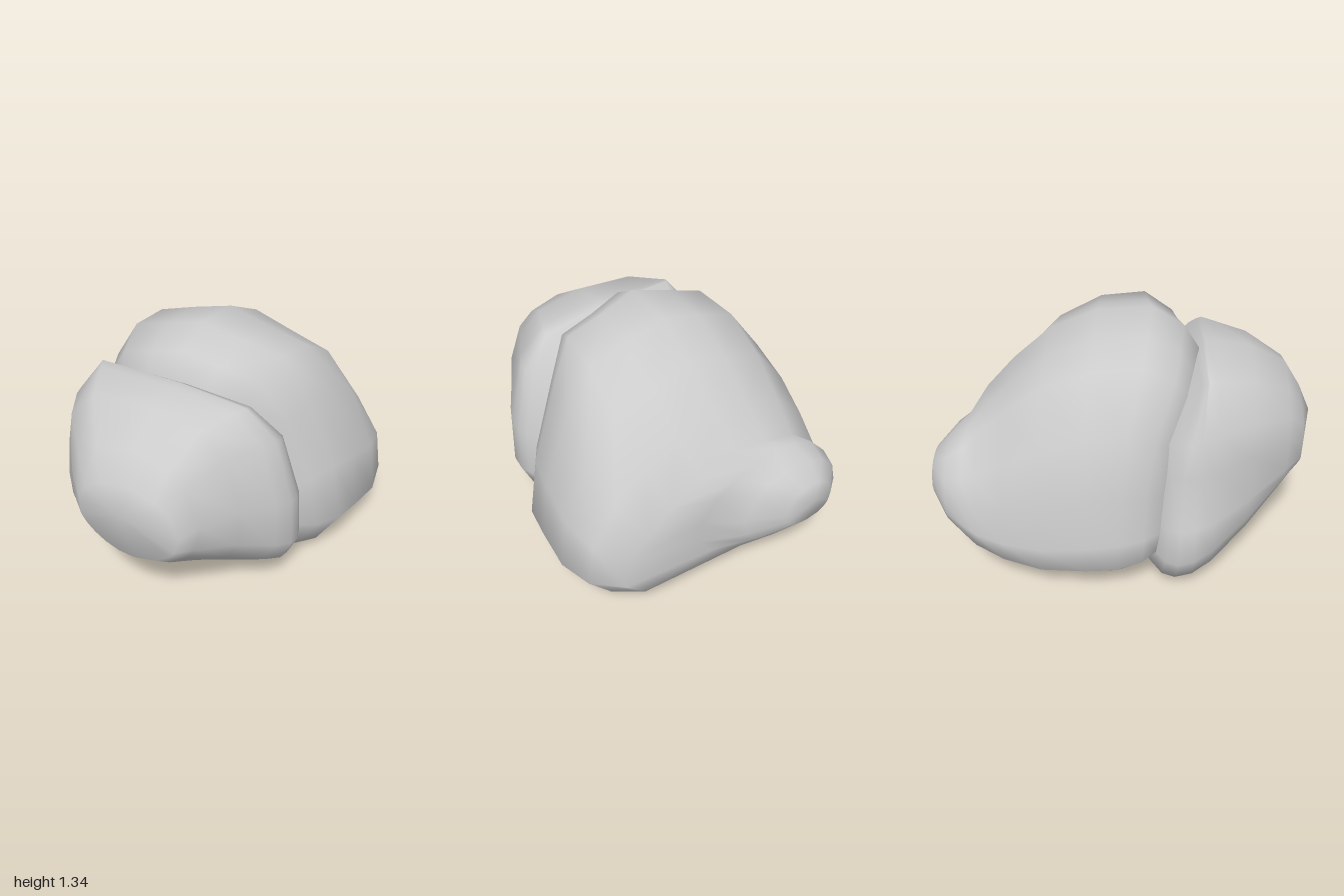
import * as THREE from 'three';

// Outlines, counter-clockwise seen from the front, starting low on the left of the model
const FRONT_OUTLINE = [
  [0.62, 0.33], [0.61, 0.6], [0.52, 0.95], [0.36, 1.1], [0, 1.145], [-0.46, 1.15], [-0.64, 0.92], [-0.635, 0.7],
  [-0.71, 0.42], [-0.745, 0.24], [-0.67, 0.09], [-0.45, 0.02], [-0.2, 0.06], [0, 0.065], [0.3, 0.09], [0.56, 0.2],
];
const REAR_OUTLINE = [
  [0.79, 0.27], [0.73, 0.6], [0.58, 0.98], [0.43, 1.24], [0.2, 1.29], [-0.02, 1.35], [-0.25, 1.285], [-0.47, 1.22],
  [-0.67, 0.95], [-0.74, 0.62], [-0.79, 0.35], [-0.8, 0.2], [-0.67, 0.08], [-0.45, 0.01], [0, 0.02], [0.3, 0], [0.65, 0.05],
];

// Sections: z, min x, max x, min y, max y, lean of the furrow, roundness, drop of the upper left side
const FRONT_SECTIONS = [
  [0.94, -0.28, 0.3, 0.44, 0.86, 0, 1.1, 0],
  [0.85, -0.39, 0.36, 0.35, 1.01, 0, 0.9, 0],
  [0.65, -0.6, 0.47, 0.21, 1.13, 0, 0.45, 0],
  [0.47, -0.72, 0.58, 0.09, 1.15, 0, 0.15, 0],
  [0.38, -0.75, 0.62, 0.05, 1.15, 0.03, 0, 0],
  [0.31, -0.75, 0.62, 0.02, 1.14, 0.08, 0, 0],
  [0.25, -0.73, 0.6, 0.03, 1.12, 0.11, 0, 0],
  [0.19, -0.66, 0.54, 0.07, 1.05, 0.14, 0, 0],
  [0.1, -0.52, 0.43, 0.16, 0.94, 0.14, 0, 0],
];
const REAR_SECTIONS = [
  [0.28, -0.56, 0.46, 0.24, 1.0, 0.17, 0, 0],
  [0.21, -0.67, 0.56, 0.11, 1.13, 0.15, 0, 0],
  [0.13, -0.73, 0.65, 0.06, 1.25, 0.1, 0, 0],
  [0.0, -0.78, 0.73, 0.03, 1.345, 0.06, 0, 0],
  [-0.17, -0.8, 0.765, 0.01, 1.32, 0.01, 0.1, 0.03],
  [-0.4, -0.78, 0.79, 0, 1.2, 0, 0.15, 0.1],
  [-0.6, -0.74, 0.75, 0.07, 1.02, 0, 0.15, 0.2],
  [-0.75, -0.69, 0.63, 0.15, 0.86, 0, 0.2, 0.3],
  [-0.81, -0.67, 0.18, 0.22, 0.81, 0, 0.3, 0.1],
  [-0.9, -0.63, -0.01, 0.31, 0.73, 0, 0.5, 0],
  [-0.985, -0.51, -0.2, 0.41, 0.65, 0, 0.8, 0],
];

// Fits the outline to every section, skins the rings and closes both ends with a tip
function loft(outline, sections, frontTip, backTip) {
  const box = new THREE.Box2().setFromPoints(outline.map((p) => new THREE.Vector2(...p)));
  const middle = box.getCenter(new THREE.Vector2());
  const half = box.getSize(new THREE.Vector2()).multiplyScalar(0.5);
  const n = outline.length, rings = sections.length;
  const positions = [], index = [];
  for (const [z, left, right, bottom, top, lean, roundness, drop] of sections) {
    for (const [px, py] of outline) {
      // Unit coordinates of the outline, drawn towards a circle by the roundness
      const p = new THREE.Vector2(px, py).sub(middle).divide(half);
      p.lerp(p.clone().normalize(), roundness);
      const x = THREE.MathUtils.mapLinear(p.x, -1, 1, left, right);
      const y = THREE.MathUtils.mapLinear(p.y, -1, 1, bottom, top) - drop * Math.max(0, p.x) * Math.max(0, p.y);
      const lift = (y - 0.6) / 0.5;
      const bend = lift > 0 ? lift * lift * (1 - 0.3 * x) : -0.3 * lift * lift;
      // Shallow hollow between the two bulges of the back
      const hollow = z < -0.7 ? 0.06 * Math.exp(-(((x - 0.18) / 0.18) ** 2)) * THREE.MathUtils.clamp((0.85 - y) / 0.3, 0, 1) : 0;
      positions.push(x, y, z + lean * bend + hollow);
    }
  }
  positions.push(...frontTip, ...backTip);
  const front = rings * n, back = front + 1;
  for (let j = 0; j < n; j++) {
    const k = (j + 1) % n;
    for (let i = 0; i < rings - 1; i++) {
      const a = i * n + j, b = i * n + k;
      index.push(a, a + n, b, b, a + n, b + n);
    }
    index.push(front, j, k);
    index.push(back, (rings - 1) * n + k, (rings - 1) * n + j);
  }
  const geometry = new THREE.BufferGeometry();
  geometry.setAttribute('position', new THREE.Float32BufferAttribute(positions, 3));
  geometry.setIndex(index);
  geometry.computeVertexNormals();
  return geometry;
}

export function createModel() {
  const group = new THREE.Group();
  group.name = 'boulder';
  const material = new THREE.MeshStandardMaterial({ color: 0xcccccc });
  const add = (name, geometry) => {
    const mesh = new THREE.Mesh(geometry, material);
    mesh.name = name;
    group.add(mesh);
  };
  // Smaller lobe in front, larger lobe behind, meeting in a curved furrow
  add('frontLobe', loft(FRONT_OUTLINE, FRONT_SECTIONS, [0, 0.73, 1], [0, 0.55, 0.05]));
  add('rearLobe', loft(REAR_OUTLINE, REAR_SECTIONS, [-0.05, 0.6, 0.3], [-0.38, 0.54, -1]));
  return group;
}
